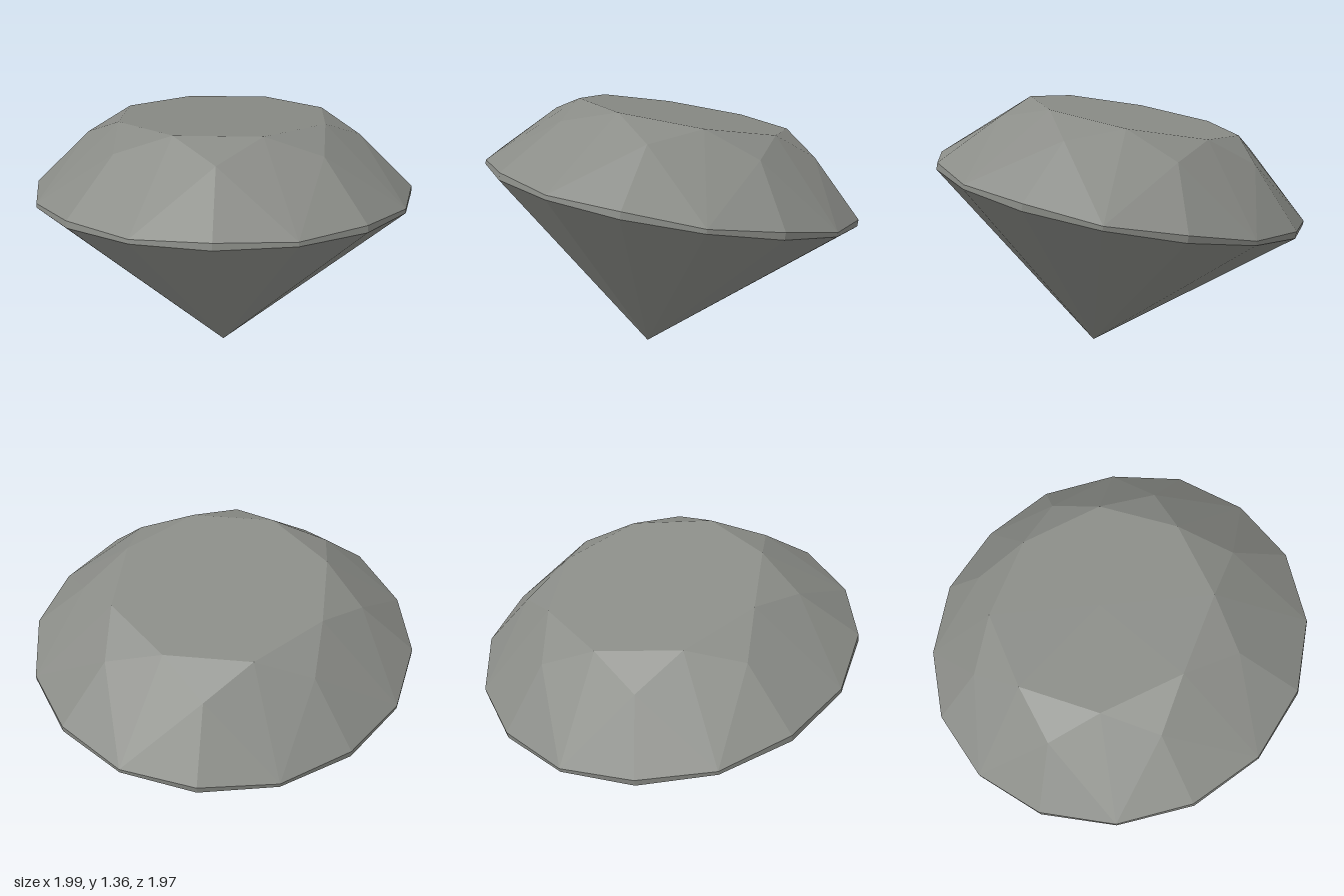
import * as THREE from 'three';

const SIDES = 16;

// Point on a ring around the gem's own axis; step 0 faces the front
function ring(step, radius, height) {
  const a = (step / SIDES) * Math.PI * 2;
  return [Math.sin(a) * radius, height, Math.cos(a) * radius];
}

// Flat facets from a list of triangles
function facets(name, triangles, material) {
  const geometry = new THREE.BufferGeometry();
  geometry.setAttribute('position', new THREE.Float32BufferAttribute(triangles.flat(2), 3));
  geometry.computeVertexNormals();
  const mesh = new THREE.Mesh(geometry, material);
  mesh.name = name;
  return mesh;
}

export function createModel() {
  const stone = new THREE.MeshStandardMaterial({ color: 0x8a8c87 });
  stone.name = 'grey stone';

  const centreHeight = 0.852;
  const slopeX = 0.085, slopeZ = 0.177;
  const depth = centreHeight * Math.hypot(1, slopeX, slopeZ);

  // Rings of the cut: the upper girdle edge is gently scalloped
  const lower = (i) => ring(i, 1, 0);
  const upper = (i) => ring(i, 1, i % 2 ? 0.036 : 0.022);
  const middle = (i) => ring(i, 0.716, 0.312);
  const tableCorner = (i) => ring(i, 0.565, 0.41);
  const tip = [0, -depth, 0];
  const tableCentre = [0, 0.41, 0];

  const table = [], star = [], kite = [], upperGirdle = [], girdle = [], pavilion = [];

  for (let i = 0; i < SIDES; i++) {
    pavilion.push([tip, lower(i + 1), lower(i)]);
    girdle.push([lower(i), lower(i + 1), upper(i + 1)], [lower(i), upper(i + 1), upper(i)]);
  }

  // Eightfold crown
  for (let i = 0; i < SIDES; i += 2) {
    const corner = tableCorner(i), next = tableCorner(i + 2);
    const before = middle(i - 1), after = middle(i + 1);
    table.push([tableCentre, corner, next]);
    star.push([corner, after, next]);
    kite.push([corner, before, upper(i)], [corner, upper(i), after]);
    upperGirdle.push([after, upper(i), upper(i + 1)], [after, upper(i + 1), upper(i + 2)]);
  }

  const gem = new THREE.Group();
  gem.name = 'cutGem';
  gem.add(
    facets('table', table, stone),
    facets('starFacets', star, stone),
    facets('kiteFacets', kite, stone),
    facets('upperGirdleFacets', upperGirdle, stone),
    facets('girdle', girdle, stone),
    facets('pavilion', pavilion, stone)
  );

  // Lean the gem back and to its right
  const up = new THREE.Vector3(-slopeX, 1, -slopeZ).normalize();
  const front = new THREE.Vector3(0, slopeZ, 1).normalize();
  const side = new THREE.Vector3().crossVectors(up, front);
  gem.quaternion.setFromRotationMatrix(new THREE.Matrix4().makeBasis(side, up, front));
  gem.position.y = centreHeight;

  const model = new THREE.Group();
  model.name = 'tiltedGem';
  model.add(gem);
  return model;
}
